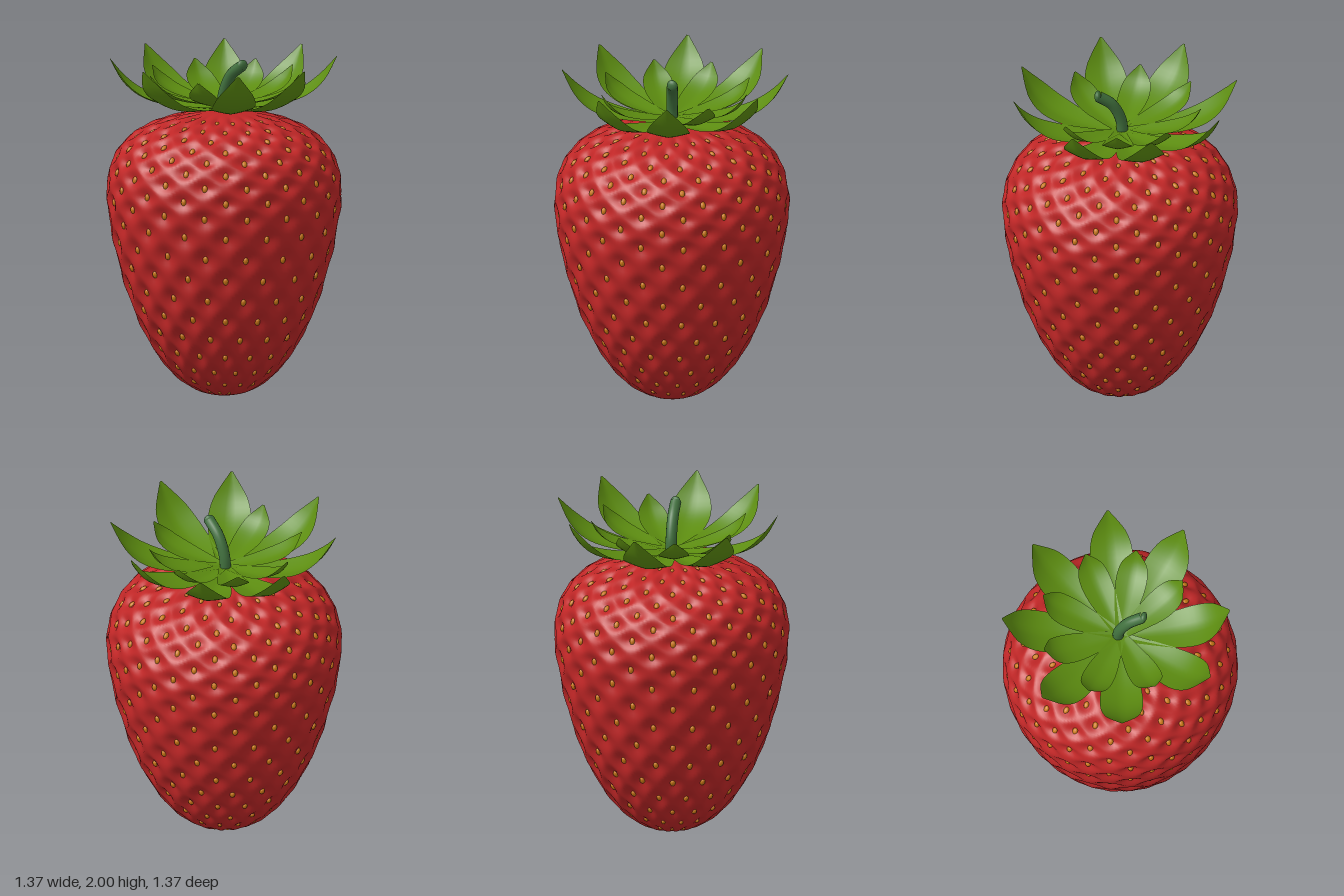
import * as THREE from 'three';
import { mergeGeometries, mergeVertices } from 'three/addons/utils/BufferGeometryUtils.js';

const red = new THREE.MeshStandardMaterial({ name: 'berryRed', color: 0xbf2626 });
const amber = new THREE.MeshStandardMaterial({ name: 'seedAmber', color: 0xcc7a16 });
const green = new THREE.MeshStandardMaterial({ name: 'leafGreen', color: 0x5c8c10, side: THREE.DoubleSide });
const stemGreen = new THREE.MeshStandardMaterial({ name: 'stemGreen', color: 0x41703e });

// Berry profile (radius, height); each point is one row of seeds
const rows = [
  [0, 0], [0.14, 0.03], [0.25, 0.09], [0.335, 0.17], [0.41, 0.27], [0.475, 0.385], [0.53, 0.505],
  [0.575, 0.63], [0.613, 0.76], [0.645, 0.89], [0.67, 1.02], [0.685, 1.14], [0.688, 1.24],
  [0.675, 1.33], [0.648, 1.41], [0.605, 1.48], [0.545, 1.54], [0.465, 1.59], [0.365, 1.63],
  [0.25, 1.66], [0.12, 1.68], [0, 1.685],
];
const last = rows.length - 1;
const profile = new THREE.SplineCurve(rows.map(([r, y]) => new THREE.Vector2(r, y)));

// Seeds follow a spiral that drops one row per turn
const TURN = Math.PI * 2, STEP = TURN / 16.5, PHASE = -0.07, TOP = 20, FIRST = 8, COUNT = 313;
const seedRow = (i) => TOP - (i * STEP) / TURN;

function section(t) {
  const p = profile.getPoint(t / last);
  const tan = profile.getTangent(t / last);
  return { p, tan, normal: new THREE.Vector2(tan.y, -tan.x), depth: 0.032 * Math.min(1, p.x / 0.45) };
}

// Dimple strength at an angle and row
function dimple(angle, t) {
  const a = angle - PHASE;
  const n0 = Math.floor(TOP - t - a / TURN);
  let best = 0;
  for (let n = n0 - 1; n <= n0 + 2; n++) {
    const A = a + n * TURN;
    const i = Math.round(A / STEP);
    if (i < FIRST || i > COUNT) continue;
    const da = A / STEP - i, dt = (t - seedRow(i)) / 2;
    best = Math.max(best, Math.exp(-(da * da + dt * dt) / 0.06));
  }
  return best;
}

function berryGeometry() {
  const NT = 168, NA = 198;
  const sections = [];
  for (let j = 0; j <= NT; j++) sections.push(section((j / NT) * last));
  const geo = new THREE.LatheGeometry(sections.map((s) => s.p), NA);
  const pos = geo.attributes.position;
  for (let k = 0; k < pos.count; k++) {
    const j = k % (NT + 1);
    const a = (Math.floor(k / (NT + 1)) % NA) / NA * TURN;
    const { p, normal, depth } = sections[j];
    const d = depth * dimple(a, (j / NT) * last);
    const r = Math.max(0, p.x - normal.x * d);
    pos.setXYZ(k, r * Math.sin(a), p.y - normal.y * d, r * Math.cos(a));
  }
  geo.deleteAttribute('uv');
  geo.deleteAttribute('normal');
  const welded = mergeVertices(geo, 1e-5);
  welded.computeVertexNormals();
  return welded;
}

function seedsGeometry() {
  const list = [];
  const m = new THREE.Matrix4();
  for (let i = FIRST; i <= COUNT; i++) {
    const a = i * STEP + PHASE, s = Math.sin(a), c = Math.cos(a);
    const { p, tan, normal, depth } = section(seedRow(i));
    const r = p.x - normal.x * depth * 0.85, y = p.y - normal.y * depth * 0.85;
    const size = Math.min(1, 0.5 + p.x);
    m.makeBasis(
      new THREE.Vector3(c, 0, -s),
      new THREE.Vector3(tan.x * s, tan.y, tan.x * c),
      new THREE.Vector3(normal.x * s, normal.y, normal.x * c),
    );
    m.setPosition(r * s, y, r * c);
    list.push(new THREE.SphereGeometry(1, 8, 6).scale(0.016 * size, 0.022 * size, 0.013 * size).applyMatrix4(m));
  }
  return mergeGeometries(list);
}

// Leaf running out along +z: a curved spine with a shallow fold
function leafGeometry(spinePoints, halfWidths, fold) {
  const NS = 20, NW = 8;
  const spine = new THREE.SplineCurve(spinePoints.map(([r, y]) => new THREE.Vector2(r, y)));
  const width = new THREE.SplineCurve(halfWidths.map((w, i) => new THREE.Vector2(i, w)));
  const geo = new THREE.PlaneGeometry(1, 1, NW, NS);
  const pos = geo.attributes.position;
  for (let k = 0; k < pos.count; k++) {
    const t = pos.getY(k) + 0.5, v = pos.getX(k) * 2;
    const p = spine.getPoint(t), tan = spine.getTangent(t), w = Math.max(0, width.getPoint(t).y);
    const lift = fold * w * Math.pow(Math.abs(v), 1.3);
    pos.setXYZ(k, -v * w, p.y + tan.x * lift, p.x - tan.y * lift);
  }
  geo.computeVertexNormals();
  return geo;
}

function addLeaves(group, name, geo, baseLength, tips) {
  tips.forEach(([x, z]) => {
    const leaf = new THREE.Mesh(geo, green);
    leaf.name = name;
    leaf.rotation.y = Math.atan2(x, z);
    const s = Math.hypot(x, z) / baseLength;
    leaf.scale.set(1, 1, s);
    group.add(leaf);
  });
}

export function createModel() {
  const model = new THREE.Group();
  model.name = 'strawberry';
  const add = (name, geo, mat, parent = model) => {
    const mesh = new THREE.Mesh(geo, mat);
    mesh.name = name;
    parent.add(mesh);
    return mesh;
  };

  add('berry', berryGeometry(), red);
  add('seeds', seedsGeometry(), amber);

  // Leafy crown: long outer leaves under a shorter inner ring
  const crown = new THREE.Group();
  crown.name = 'crown';
  model.add(crown);
  const outer = leafGeometry(
    [[0, 1.69], [0.17, 1.7], [0.34, 1.72], [0.48, 1.77], [0.58, 1.86], [0.65, 1.99]],
    [0.03, 0.075, 0.115, 0.125, 0.095, 0.006], 0.22);
  addLeaves(crown, 'outerLeaf', outer, 0.65, [
    [-0.18, -0.665], [0.31, -0.615], [0.63, -0.25], [0.63, 0.21],
    [0.22, 0.6], [-0.21, 0.6], [-0.62, 0.18], [-0.59, -0.31]]);
  const inner = leafGeometry(
    [[0, 1.715], [0.13, 1.73], [0.25, 1.75], [0.35, 1.785], [0.42, 1.84], [0.46, 1.915]],
    [0.03, 0.06, 0.085, 0.09, 0.07, 0.006], 0.22);
  addLeaves(crown, 'innerLeaf', inner, 0.46, [
    [0.05, -0.48], [0.36, -0.31], [0.46, -0.03], [0.35, 0.28],
    [-0.32, 0.3], [-0.45, -0.07], [-0.275, -0.385]]);

  // Bent stem with a rounded end
  const path = new THREE.CatmullRomCurve3([
    new THREE.Vector3(-0.005, 1.68, -0.015), new THREE.Vector3(0, 1.79, -0.005),
    new THREE.Vector3(0.022, 1.9, 0.045), new THREE.Vector3(0.055, 1.967, 0.125)]);
  add('stem', new THREE.TubeGeometry(path, 24, 0.033, 14), stemGreen);
  const cap = add('stemTip', new THREE.SphereGeometry(0.033, 14, 10), stemGreen);
  cap.position.copy(path.getPoint(1));
  cap.scale.z = 0.6;
  return model;
}
